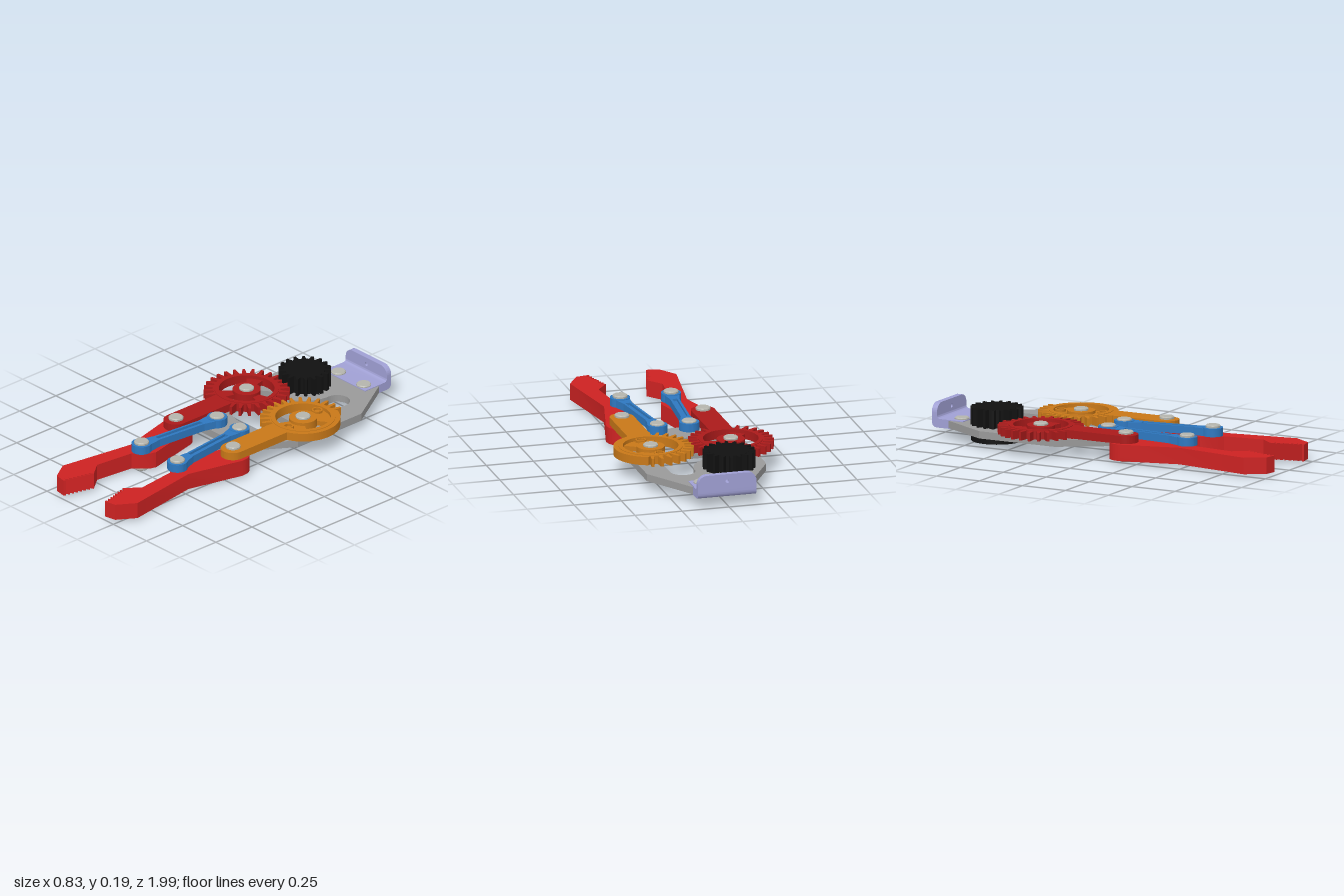
import * as THREE from 'three';
import { toCreasedNormals } from 'three/addons/utils/BufferGeometryUtils.js';

const mat = (color) => new THREE.MeshStandardMaterial({ color });
const RED = mat(0xcc2222), DARKRED = mat(0xaa1a1a), ORANGE = mat(0xc87818), BLUE = mat(0x2e78c0);
const STEEL = mat(0x999999), PIN = mat(0xb4b4ac), BLACK = mat(0x111111), LILAC = mat(0xa0a0d4);
const PI = Math.PI;

function add(parent, name, geo, material) {
  const mesh = new THREE.Mesh(geo, material);
  mesh.name = name;
  parent.add(mesh);
  return mesh;
}

// Extrude a plan outline (x, z) between two heights
function slab(shape, y0, y1) {
  const g = new THREE.ExtrudeGeometry(shape, { depth: y1 - y0, bevelEnabled: false, curveSegments: 20 });
  g.rotateX(PI / 2).translate(0, y1, 0);
  return toCreasedNormals(g, 0.5);
}

const polygon = (pts) => new THREE.Shape(pts.map(([x, z]) => new THREE.Vector2(x, z)));

function disc(r) {
  const s = new THREE.Shape();
  s.absarc(0, 0, r, 0, PI * 2, false);
  return s;
}

function ring(rOut, rIn) {
  const s = disc(rOut);
  s.holes.push(new THREE.Path().absarc(0, 0, rIn, 0, PI * 2, true));
  return s;
}

// Outline of a gear whose teeth may cover only part of the rim
function gearShape(teeth, root, tip, plain, hasTooth, hole) {
  const pts = [], step = PI * 2 / teeth;
  for (let i = 0; i < teeth; i++) {
    const on = hasTooth(i * step);
    for (const [f, high] of [[-0.5, 0], [-0.3, 0], [-0.13, 1], [0.13, 1], [0.3, 0]]) {
      const a = (i + f) * step, r = on ? (high ? tip : root) : plain;
      pts.push([r * Math.cos(a), r * Math.sin(a)]);
    }
  }
  const s = polygon(pts);
  if (hole) s.holes.push(new THREE.Path().absarc(0, 0, hole, 0, PI * 2, true));
  return s;
}

// Ring sector used for the spokes
function sector(r0, r1, a0, a1) {
  const s = new THREE.Shape();
  s.absarc(0, 0, r1, a0, a1, false);
  s.absarc(0, 0, r0, a1, a0, true);
  s.closePath();
  return s;
}

// Pin with chamfered heads
function pin(parent, name, x, z, y0, y1, r = 0.038) {
  const c = 0.005, neck = r * 0.7, h = 0.014;
  const p = [[0, y0], [r - c, y0], [r, y0 + c], [r, y0 + h], [neck, y0 + h], [neck, y1 - h],
    [r, y1 - h], [r, y1 - c], [r - c, y1], [0, y1]].map(([a, b]) => new THREE.Vector2(a, b));
  const g = toCreasedNormals(new THREE.LatheGeometry(p, 28).toNonIndexed(), 0.5);
  add(parent, name, g, PIN).position.set(x, 0, z);
}

// Gear with recessed spokes, hub and a round-ended arm
function gearArm(name, x, material, spokes, hasTooth, armX) {
  const g = new THREE.Group();
  g.name = name;
  g.position.set(x, 0, -0.335);
  add(g, 'toothedRim', slab(gearShape(28, 0.172, 0.22, 0.19, hasTooth, 0.142), 0.103, 0.147), material);
  add(g, 'rimLip', slab(ring(0.165, 0.142), 0.147, 0.15), material);
  add(g, 'hub', slab(disc(0.072), 0.103, 0.147), material);
  for (const [a0, a1] of spokes) add(g, 'spoke', slab(sector(0.06, 0.15, a0, a1), 0.106, 0.132), material);
  const arm = new THREE.Shape();
  arm.moveTo(armX + 0.062, 0.158);
  arm.lineTo(armX + 0.062, 0.495);
  arm.absarc(armX, 0.495, 0.062, 0, PI, false);
  arm.lineTo(armX - 0.062, 0.158);
  arm.closePath();
  add(g, 'arm', slab(arm, 0.105, 0.147), material);
  return g;
}

// Finger with rounded pivot end, elbow and serrated jaw
function finger() {
  const s = new THREE.Shape();
  s.absarc(-0.195, 0.155, 0.082, PI, PI * 1.95, false);
  const pts = [[-0.05, 0.43], [-0.06, 0.46], [-0.125, 0.53], [-0.15, 0.745], [-0.088, 0.825]];
  const n = 7;
  for (let i = 0; i < n; i++) {
    const t = (i + 0.6) / n, u = (i + 1) / n;
    pts.push([-0.088 - 0.042 * t - 0.022, 0.825 + 0.155 * t], [-0.088 - 0.042 * u, 0.825 + 0.155 * u]);
  }
  pts.push([-0.135, 0.99], [-0.2, 0.978], [-0.262, 0.88], [-0.2, 0.47], [-0.277, 0.17]);
  pts.forEach(([x, z]) => s.lineTo(x, z));
  s.closePath();
  return s;
}

// Mirror a plan outline across the centre line of the jaws
const mirrored = (shape) => new THREE.Shape(
  shape.extractPoints(16).shape.map((p) => new THREE.Vector2(0.04 - p.x, p.y)).reverse());

// Link with round eyes and a channelled middle
function link(x0, z0, x1, z1) {
  const g = new THREE.Group();
  g.name = 'link';
  const len = Math.hypot(x1 - x0, z1 - z0);
  g.position.set(x0, 0, z0);
  g.rotation.y = Math.atan2(x1 - x0, z1 - z0);
  for (const z of [0, len]) {
    const eye = add(g, 'linkEye', slab(disc(0.052), 0.107, 0.15), BLUE);
    eye.position.z = z;
    const neck = polygon([[-0.046, 0], [0.046, 0], [0.024, 0.1], [-0.024, 0.1]]);
    const n = add(g, 'linkNeck', slab(neck, 0.107, 0.147), BLUE);
    n.position.z = z;
    if (z) n.rotation.y = PI;
  }
  for (const s of [-1, 1]) {
    const rail = new THREE.BoxGeometry(0.012, 0.04, len - 0.15);
    add(g, 'linkRail', rail.translate(s * 0.018, 0.127, len / 2), BLUE);
  }
  add(g, 'linkWeb', new THREE.BoxGeometry(0.03, 0.014, len - 0.15).translate(0, 0.127, len / 2), BLUE);
  return g;
}

function basePlate() {
  const s = polygon([[-0.14, -0.91], [0.17, -0.91], [0.333, -0.64], [0.333, -0.2], [0.19, 0.02],
    [0.15, 0.05], [-0.12, 0.05], [-0.16, 0.02], [-0.3, -0.2], [-0.3, -0.64]]);
  // Opening: slot beside the motor running into a wide oval
  const h = new THREE.Path();
  h.absarc(0.145, -0.645, 0.065, PI, PI * 2, false);
  h.lineTo(0.21, -0.51);
  h.bezierCurveTo(0.25, -0.46, 0.27, -0.4, 0.27, -0.33);
  h.bezierCurveTo(0.27, -0.21, 0.16, -0.12, 0.015, -0.12);
  h.bezierCurveTo(-0.13, -0.12, -0.24, -0.21, -0.24, -0.33);
  h.bezierCurveTo(-0.24, -0.39, -0.21, -0.44, -0.16, -0.465);
  h.absarc(-0.1, -0.645, 0.18, PI * 0.55, 0, true);
  h.closePath();
  s.holes.push(h);
  return slab(s, 0.062, 0.1);
}

// L-shaped mounting bracket: curved bend section plus an upright with rounded corners
function bracket() {
  const g = new THREE.Group();
  g.name = 'mountingBracket';
  const sec = new THREE.Shape();
  sec.moveTo(-0.82, 0.058);
  sec.lineTo(-0.82, 0.104);
  sec.lineTo(-0.95, 0.104);
  sec.quadraticCurveTo(-0.97, 0.104, -0.97, 0.12);
  sec.lineTo(-1, 0.12);
  sec.lineTo(-1, 0.09);
  sec.quadraticCurveTo(-1, 0.058, -0.968, 0.058);
  sec.closePath();
  const foot = new THREE.ExtrudeGeometry(sec, { depth: 0.31, bevelEnabled: false });
  foot.rotateY(-PI / 2).translate(0.165, 0, 0);
  add(g, 'bracketFoot', toCreasedNormals(foot, 0.5), LILAC);
  const up = new THREE.Shape();
  up.moveTo(-0.145, 0.12);
  up.lineTo(0.165, 0.12);
  up.lineTo(0.165, 0.135);
  up.absarc(0.117, 0.135, 0.048, 0, PI / 2, false);
  up.absarc(-0.097, 0.135, 0.048, PI / 2, PI, false);
  up.closePath();
  up.holes.push(new THREE.Path().absarc(0.01, 0.145, 0.01, 0, PI * 2, true));
  const wall = new THREE.ExtrudeGeometry(up, { depth: 0.03, bevelEnabled: false }).translate(0, 0, -1);
  add(g, 'bracketUpright', toCreasedNormals(wall, 0.5), LILAC);
  return g;
}

export function createModel() {
  const model = new THREE.Group();
  model.name = 'gripperClaw';

  add(model, 'basePlate', basePlate(), STEEL);
  add(model, 'crossBar', new THREE.BoxGeometry(0.54, 0.036, 0.04).translate(0.015, 0.081, -0.335), STEEL);
  model.add(bracket());

  // Motor with drive pinion above the plate
  const motor = new THREE.Group();
  motor.name = 'motor';
  motor.position.set(-0.1, 0, -0.645);
  add(motor, 'drivePinion', slab(gearShape(18, 0.105, 0.135, 0.12, () => true), 0.1, 0.195), BLACK);
  add(motor, 'motorBody', new THREE.CylinderGeometry(0.133, 0.133, 0.08, 40).translate(0, 0.06, 0), BLACK);
  model.add(motor);

  // Meshing gears with arms
  const third = PI * 2 / 3;
  const redSpokes = [0, 1, 2].map((i) => [i * third - 0.3, i * third + 0.3]);
  model.add(gearArm('drivenGear', -0.2, DARKRED, redSpokes, () => true, 0.005));
  const half = (a) => a > 1.75 && a < 4.95;
  const orange = gearArm('followerGear', 0.225, ORANGE, [[0.6, 2], [PI * 2 - 2, PI * 2 - 0.6]], half, 0.01);
  for (const [x, z] of [[-0.015, -0.112], [0.018, 0.118]]) {
    add(orange, 'spokeBoss', slab(ring(0.028, 0.019), 0.125, 0.145), ORANGE).position.set(x, 0, z);
  }
  model.add(orange);

  // Jaws and links
  const jaw = finger();
  add(model, 'rightFinger', slab(jaw, 0.02, 0.106), RED);
  add(model, 'leftFinger', slab(mirrored(jaw), 0.02, 0.106), RED);
  model.add(link(-0.072, -0.013, -0.115, 0.47), link(0.097, -0.013, 0.155, 0.47));

  // Pins
  for (const x of [-0.2, 0.225]) pin(model, 'gearPin', x, -0.335, 0.05, 0.16);
  for (const x of [-0.072, 0.097]) pin(model, 'linkBasePin', x, -0.013, 0.05, 0.16);
  for (const x of [-0.115, 0.155]) pin(model, 'linkFingerPin', x, 0.47, 0.006, 0.164);
  for (const x of [-0.195, 0.235]) pin(model, 'fingerPin', x, 0.158, 0.006, 0.164);
  for (const x of [-0.08, 0.11]) pin(model, 'bracketPin', x, -0.86, 0.046, 0.114);
  return model;
}
